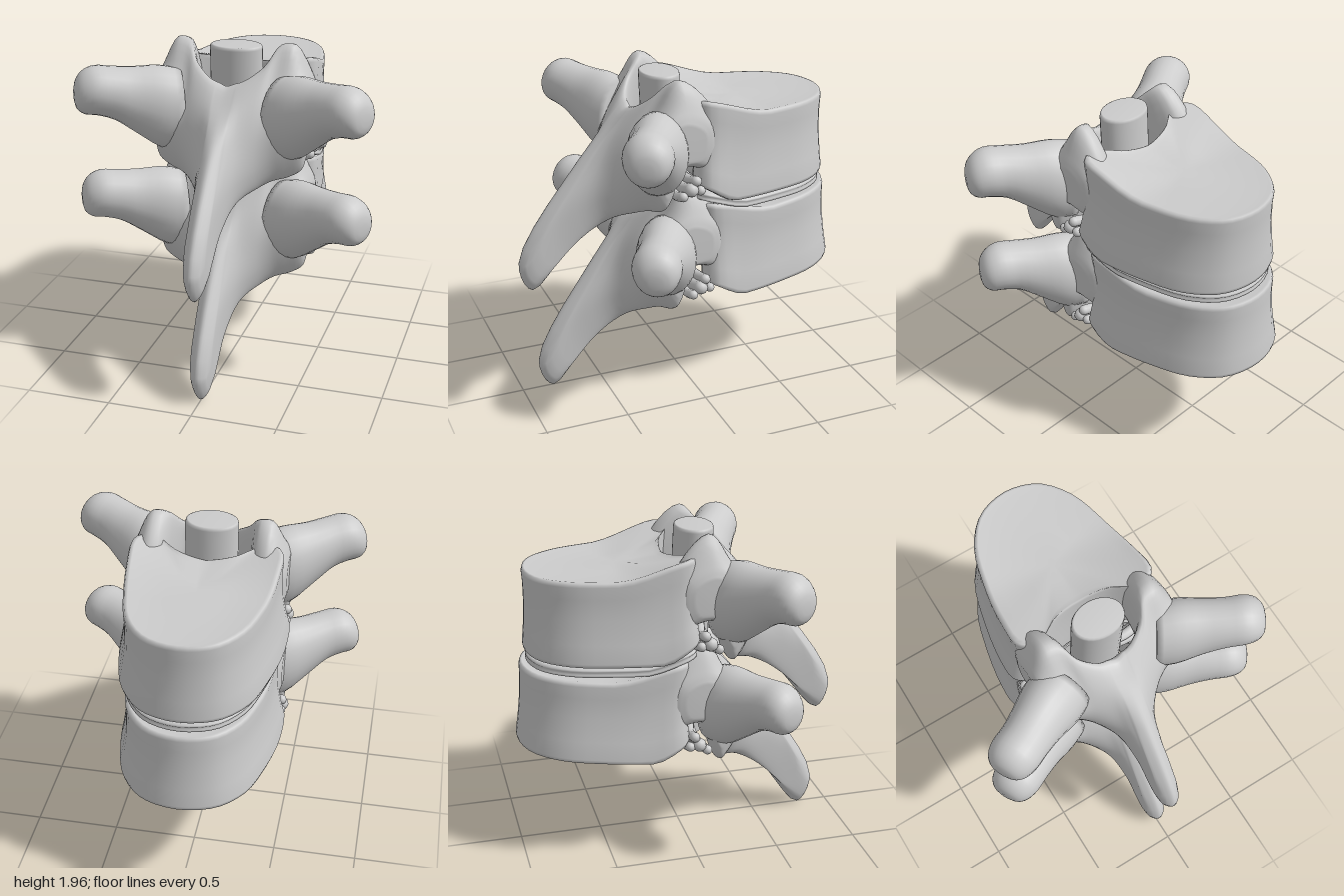
import * as THREE from 'three';

const V = (x, y, z) => new THREE.Vector3(x, y, z);
const material = new THREE.MeshStandardMaterial({ color: 0xcccccc });

function part(name, geometry) {
  const mesh = new THREE.Mesh(geometry, material);
  mesh.name = name;
  return mesh;
}

// Closed skin through a list of equal-length rings, smoothed 'sub' times between rings, capped at both ends
function loft(rings, sub = 1) {
  const n = rings[0].length;
  const rails = rings[0].map((_, i) => new THREE.CatmullRomCurve3(rings.map((r) => r[i])));
  const rows = (rings.length - 1) * sub;
  const points = [];
  for (let j = 0; j <= rows; j++) {
    for (let i = 0; i < n; i++) points.push(j % sub ? rails[i].getPoint(j / rows) : rings[j / sub][i].clone());
  }
  const index = [];
  for (let j = 0; j < rows; j++) {
    for (let i = 0; i < n; i++) {
      const a = j * n + i, b = j * n + (i + 1) % n;
      index.push(a, b, a + n, b, b + n, a + n);
    }
  }
  for (const row of [0, rows]) {
    const c = points.length, mid = V(0, 0, 0);
    for (let i = 0; i < n; i++) mid.addScaledVector(points[row * n + i], 1 / n);
    points.push(mid);
    for (let i = 0; i < n; i++) {
      const a = row * n + i, b = row * n + (i + 1) % n;
      if (row) index.push(a, b, c);
      else index.push(b, a, c);
    }
  }
  // Turn the skin outward if its volume is negative
  let volume = 0;
  for (let k = 0; k < index.length; k += 3) {
    volume += points[index[k]].dot(points[index[k + 1]].clone().cross(points[index[k + 2]]));
  }
  if (volume < 0) index.reverse();
  const geometry = new THREE.BufferGeometry().setFromPoints(points);
  geometry.setIndex(index);
  geometry.computeVertexNormals();
  return geometry;
}

function smoothLoop(points, count) {
  const curve = new THREE.CatmullRomCurve3(points, true);
  return Array.from({ length: count }, (_, i) => curve.getPoint(i / count));
}

// Body outline seen from above: half of it as x, z, then mirrored
const halfOutline = [[0, -0.925], [0.19, -0.87], [0.32, -0.71], [0.39, -0.47], [0.43, -0.2], [0.425, -0.02],
  [0.33, 0.03], [0.17, -0.06], [0, -0.09]];
const outline = smoothLoop([
  ...halfOutline.map(([x, z]) => V(x, 0, z)),
  ...halfOutline.slice(1, -1).reverse().map(([x, z]) => V(-x, 0, z)),
], 56);

// Stacked outlines: x scale, z scale, height, and how far the rear rises, starting from zStart
function slab(levels) {
  return loft(levels.map(([sx, sz, y, rise, zStart]) => outline.map((p) => {
    const x = p.x * sx, z = -0.4 + (p.z + 0.4) * sz;
    const lift = THREE.MathUtils.smoothstep(z, zStart, 0.03) * (0.4 + 0.6 * Math.min(1, Math.abs(x) / 0.4));
    return V(x, y + rise * lift, z);
  })));
}

const bodyLevels = [
  [0.4, 0.4, 1.285, 0.1, -0.2], [0.85, 0.85, 1.28, 0.1, -0.2], [1.03, 0.96, 1.262, 0.1, -0.2],
  [1.1, 1.0, 1.272, 0.1, -0.2], [1.12, 1.01, 1.295, 0.1, -0.22], [1.07, 0.99, 1.4, 0.08, -0.25],
  [1.01, 0.975, 1.54, 0.08, -0.35], [1.0, 0.975, 1.66, 0.1, -0.42], [1.01, 0.985, 1.735, 0.11, -0.45],
  [0.99, 0.975, 1.757, 0.11, -0.45], [0.94, 0.95, 1.76, 0.11, -0.45], [0.8, 0.85, 1.75, 0.1, -0.45],
  [0.4, 0.4, 1.745, 0.1, -0.45],
];

// Arch cross-sections at growing x; each lists z, y pairs: pedicle front, peak, back, spine tip,
// underside, lower process, notch, pedicle underside
const spineSections = [
  [0, [0.25, 1.68, 0.29, 1.75, 0.42, 1.64, 0.63, 1.42, 0.985, 0.87, 0.91, 0.685, 0.63, 0.99, 0.34, 1.2, 0.27, 1.4, 0.25, 1.56]],
  [0.048, [0.25, 1.69, 0.28, 1.765, 0.42, 1.64, 0.6, 1.42, 0.95, 0.87, 0.89, 0.75, 0.62, 1.01, 0.34, 1.2, 0.27, 1.4, 0.25, 1.56]],
  [0.066, [0.25, 1.69, 0.28, 1.77, 0.41, 1.65, 0.57, 1.42, 0.74, 1.14, 0.69, 0.97, 0.55, 1.05, 0.34, 1.2, 0.27, 1.4, 0.25, 1.57]],
  [0.11, [0.24, 1.69, 0.27, 1.79, 0.39, 1.66, 0.49, 1.46, 0.55, 1.26, 0.51, 1.13, 0.43, 1.12, 0.32, 1.2, 0.26, 1.4, 0.24, 1.57]],
];
const pillarSections = [
  [0.2, [0.18, 1.7, 0.21, 1.86, 0.33, 1.71, 0.42, 1.5, 0.43, 1.31, 0.38, 1.2, 0.33, 1.17, 0.26, 1.21, 0.22, 1.42, 0.19, 1.57]],
  [0.27, [-0.08, 1.74, 0.11, 1.965, 0.24, 1.8, 0.38, 1.55, 0.38, 1.36, 0.31, 1.22, 0.25, 1.2, 0.2, 1.26, 0.11, 1.48, -0.08, 1.45]],
  [0.35, [-0.1, 1.78, 0.1, 1.97, 0.22, 1.82, 0.36, 1.58, 0.35, 1.4, 0.28, 1.25, 0.24, 1.22, 0.19, 1.27, 0.11, 1.48, -0.1, 1.44]],
  [0.43, [-0.06, 1.73, 0.09, 1.82, 0.2, 1.78, 0.32, 1.62, 0.32, 1.46, 0.27, 1.33, 0.23, 1.27, 0.19, 1.32, 0.12, 1.5, -0.05, 1.5]],
  [0.455, [0, 1.69, 0.1, 1.75, 0.19, 1.72, 0.28, 1.61, 0.28, 1.5, 0.25, 1.4, 0.22, 1.35, 0.19, 1.39, 0.13, 1.52, 0.02, 1.55]],
];

function archGeometry() {
  const half = [...spineSections, ...pillarSections];
  const ring = ([x, zy], side) => smoothLoop(
    Array.from({ length: zy.length / 2 }, (_, i) => V(side * x, zy[2 * i + 1], zy[2 * i])), 50);
  return loft([...half.slice(1).reverse().map((s) => ring(s, -1)), ...half.map((s) => ring(s, 1))], 4);
}

// Transverse process: upright ellipses along a path, as x, y, z, half height, half width
const processSections = [
  [0.3, 1.57, 0.22, 0.24, 0.17], [0.41, 1.59, 0.27, 0.245, 0.175], [0.54, 1.64, 0.34, 0.195, 0.152],
  [0.65, 1.69, 0.405, 0.155, 0.14], [0.74, 1.71, 0.45, 0.143, 0.14], [0.8, 1.7, 0.477, 0.125, 0.122],
  [0.835, 1.69, 0.495, 0.085, 0.085], [0.848, 1.685, 0.5, 0.035, 0.035],
];

function processGeometry(side) {
  return loft(processSections.map(([x, y, z, h, w]) => Array.from({ length: 24 }, (_, i) => {
    const a = i / 24 * Math.PI * 2, c = Math.cos(a) * w;
    return V(side * (x - 0.48 * c), y + Math.sin(a) * h, z + 0.88 * c);
  })), 3);
}

// Nerve root strands passing through the notch, each with a rounded end
function nerveRoot(side) {
  const group = new THREE.Group();
  group.name = side > 0 ? 'leftNerveRoot' : 'rightNerveRoot';
  [[1.42, 0.05, 0.03], [1.37, 0.08, 0.04], [1.335, 0.13, 0.028], [1.36, 0.025, 0.028]].forEach(([y, z, r]) => {
    const end = V(side * 0.455, y, z);
    const path = new THREE.CatmullRomCurve3([
      V(side * 0.08, y + 0.06, 0.09), V(side * 0.2, y - 0.01, 0.08), V(side * 0.34, y - 0.03, z), end]);
    group.add(part('nerveStrand', new THREE.TubeGeometry(path, 16, r, 10)));
    const tip = part('nerveEnd', new THREE.SphereGeometry(r, 12, 8));
    tip.position.copy(end);
    group.add(tip);
  });
  return group;
}

function vertebra(name) {
  const group = new THREE.Group();
  group.name = name;
  group.add(part('vertebralBody', slab(bodyLevels)), part('archAndSpinousProcess', archGeometry()));
  for (const side of [1, -1]) {
    group.add(part(side > 0 ? 'leftTransverseProcess' : 'rightTransverseProcess', processGeometry(side)));
    group.add(nerveRoot(side));
  }
  return group;
}

export function createModel() {
  const model = new THREE.Group();
  model.name = 'vertebraPair';

  const lower = vertebra('lowerVertebra');
  lower.rotation.x = 0.055;
  lower.position.set(0, -0.62, -0.138);
  model.add(vertebra('upperVertebra'), lower);

  // Disc with a shallow groove around its rim
  model.add(part('disc', slab([
    [0.5, 0.5, 1.195, 0.08, -0.3], [0.98, 0.96, 1.195, 0.08, -0.3], [1.03, 0.985, 1.203, 0.08, -0.3],
    [1.03, 0.985, 1.215, 0.08, -0.3], [1.01, 0.97, 1.224, 0.08, -0.3], [1.03, 0.985, 1.233, 0.08, -0.3],
    [1.03, 0.985, 1.245, 0.08, -0.3], [0.98, 0.96, 1.253, 0.08, -0.3], [0.5, 0.5, 1.253, 0.08, -0.3],
  ])));

  // Spinal cord: an oval column leaning slightly, with softened ends
  const cordLevels = [[0.66, 0.9], [0.672, 1], [1.2, 1], [1.93, 1], [1.945, 0.97], [1.95, 0.9]];
  model.add(part('spinalCord', loft(cordLevels.map(([y, s]) => Array.from({ length: 32 }, (_, i) => {
    const a = i / 32 * Math.PI * 2;
    return V(Math.cos(a) * 0.155 * s, y, 0.04 + (y - 0.66) * 0.045 + Math.sin(a) * 0.115 * s);
  })))));
  return model;
}
